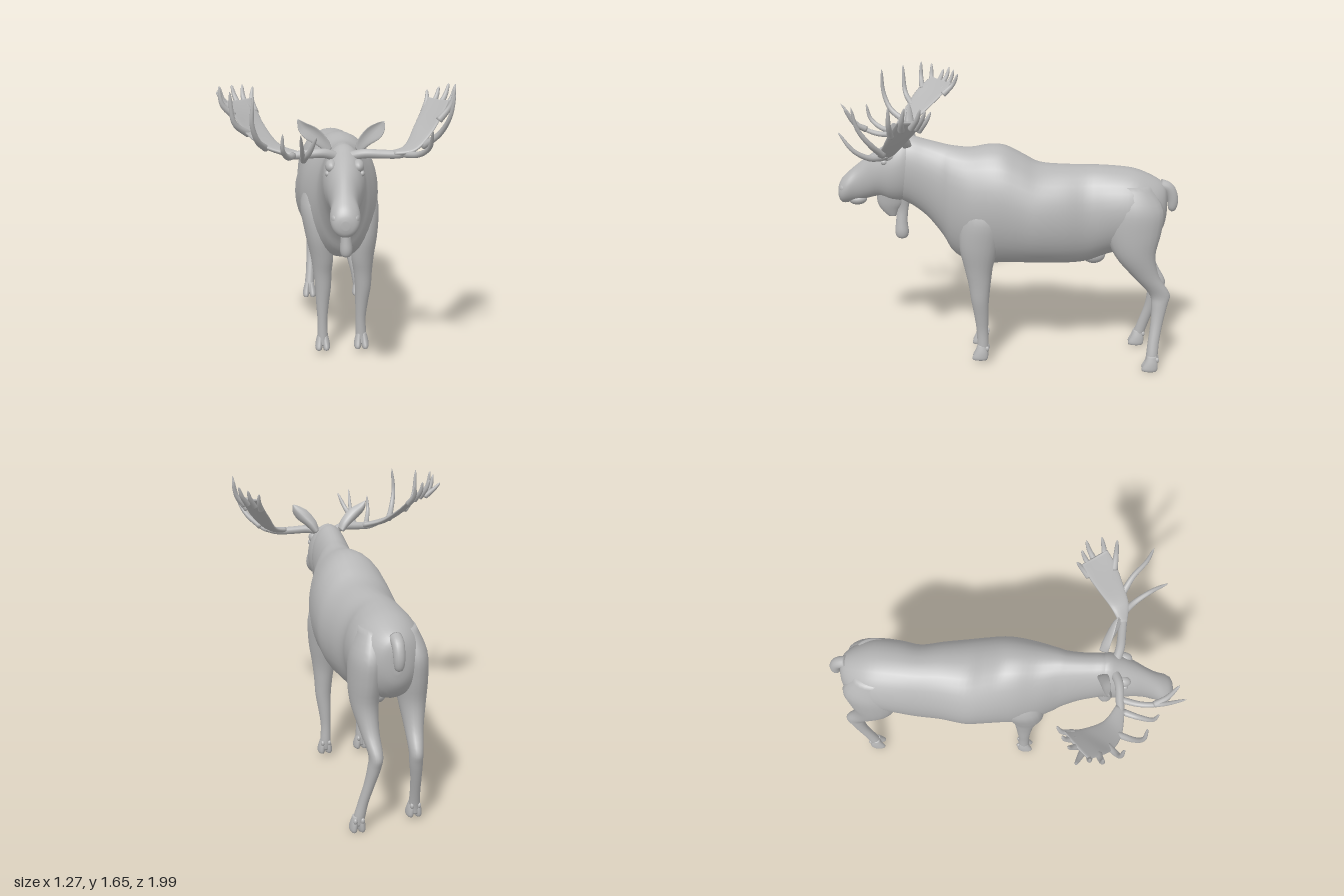
import * as THREE from 'three';

const hide = new THREE.MeshStandardMaterial({ color: 0xb6b6b6 });
hide.name = 'plain grey';
const V = (a) => new THREE.Vector3(a[0], a[1], a[2]);

// Smooth in-betweens for a list of number rows
function refine(rows, k = 4) {
  const out = [], at = (i) => rows[Math.min(Math.max(i, 0), rows.length - 1)];
  for (let i = 0; i < rows.length - 1; i++) {
    for (let s = 0; s < k; s++) {
      const t = s / k;
      out.push(rows[i].map((b, j) => {
        const a = at(i - 1)[j], c = at(i + 1)[j], d = at(i + 2)[j];
        return b + 0.5 * t * (c - a + t * (2 * a - 5 * b + 4 * c - d + t * (3 * (b - c) + d - a)));
      }));
    }
  }
  out.push(rows[rows.length - 1]);
  return out;
}

// Closed skin over oval sections {c: centre, u, v: half axes, cup: bend of the rims}
function skin(name, sections, n = 20) {
  const pos = [], idx = [], m = sections.length;
  const p = new THREE.Vector3();
  for (const { c, u, v, cup } of sections) {
    for (let j = 0; j < n; j++) {
      const a = (j / n) * Math.PI * 2;
      p.copy(c).addScaledVector(u, Math.cos(a)).addScaledVector(v, Math.sin(a));
      if (cup) p.addScaledVector(cup, Math.cos(a) ** 2);
      pos.push(p.x, p.y, p.z);
    }
  }
  for (let i = 0; i < m - 1; i++) {
    for (let j = 0; j < n; j++) {
      const a = i * n + j, b = i * n + (j + 1) % n;
      idx.push(a, b, a + n, b, b + n, a + n);
    }
  }
  const first = sections[0].c, last = sections[m - 1].c;
  pos.push(first.x, first.y, first.z, last.x, last.y, last.z);
  for (let j = 0; j < n; j++) {
    const k = (j + 1) % n, e = (m - 1) * n;
    idx.push(m * n, k, j, m * n + 1, e + j, e + k);
  }
  const g = new THREE.BufferGeometry();
  g.setAttribute('position', new THREE.Float32BufferAttribute(pos, 3));
  g.setIndex(idx);
  g.computeVertexNormals();
  const mesh = new THREE.Mesh(g, hide);
  mesh.name = name;
  return mesh;
}

// Rows [z, top, bottom, x, half width], from back to front
const alongZ = (name, rows) => skin(name, refine(rows).map(([z, t, b, x, w]) => ({
  c: V([x, (t + b) / 2, z]), u: V([w, 0, 0]), v: V([0, (t - b) / 2, 0]),
})), 32);

// Rows [y, x, z, half width, half depth], from top to bottom
const alongY = (name, rows) => skin(name, refine(rows).map(([y, x, z, w, d]) => ({
  c: V([x, y, z]), u: V([w, 0, 0]), v: V([0, 0, d]),
})), 20);

// Tapering round limb through points
function limb(name, pts, r0, r1, n = 10) {
  const curve = new THREE.CatmullRomCurve3(pts.map(V)), k = 20;
  const f = curve.computeFrenetFrames(k);
  return skin(name, f.tangents.map((t, i) => {
    const s = i / k, r = Math.max(0.001, (r0 + (r1 - r0) * s) * Math.sqrt(1 - s ** 10));
    const u = f.normals[i].clone();
    return { c: curve.getPointAt(s), u: u.clone().multiplyScalar(r), v: t.clone().cross(u).multiplyScalar(r) };
  }), n);
}

// Flat blade between two edges; rows [ax, ay, az, bx, by, bz, half thickness]
function blade(name, rows, cup) {
  const r = refine(rows, 5);
  const A = r.map((q) => V(q)), B = r.map((q) => V(q.slice(3)));
  const C = A.map((a, i) => a.clone().lerp(B[i], 0.5));
  return skin(name, r.map((q, i) => {
    const d = C[Math.min(i + 1, C.length - 1)].clone().sub(C[Math.max(i - 1, 0)]);
    const u = B[i].clone().sub(A[i]).multiplyScalar(0.5);
    const v = d.cross(u).normalize().multiplyScalar(q[6]);
    return { c: C[i], u, v, cup: V(cup).multiplyScalar(u.length()) };
  }), 18);
}

function ball(name, x, y, z, rx, ry, rz) {
  const mesh = new THREE.Mesh(new THREE.SphereGeometry(1, 20, 14), hide);
  mesh.position.set(x, y, z);
  mesh.scale.set(rx, ry, rz);
  mesh.name = name;
  return mesh;
}

// Leg with a cloven hoof at [x, y, z]
function leg(name, rows, [x, y, z]) {
  const g = new THREE.Group();
  g.name = name;
  g.add(alongY(name + 'Limb', rows));
  for (const s of [-1, 1]) {
    g.add(alongY('toe', [
      [y + 0.09, x + s * 0.012, z, 0.016, 0.026],
      [y + 0.05, x + s * 0.018, z + 0.004, 0.021, 0.038],
      [y + 0.015, x + s * 0.022, z + 0.012, 0.022, 0.046],
      [y, x + s * 0.022, z + 0.014, 0.018, 0.042],
    ]));
    g.add(ball('dewclaw', x + s * 0.02, y + 0.07, z - 0.03, 0.011, 0.016, 0.012));
  }
  return g;
}

// Antler: beam, cupped palm and tines
function antler(name, beam, palm, cup, tines) {
  const g = new THREE.Group();
  g.name = name;
  g.add(limb('beam', beam, 0.026, 0.021, 14), blade('palm', palm, cup));
  for (const t of tines) g.add(limb('tine', t, 0.019, 0.008));
  return g;
}

export function createModel() {
  const model = new THREE.Group();
  model.name = 'moose';

  // Trunk with hump and neck
  model.add(alongZ('body', [
    [-0.935, 1.03, 0.9, 0.01, 0.03], [-0.915, 1.085, 0.82, 0.01, 0.09], [-0.85, 1.13, 0.74, 0.01, 0.155],
    [-0.74, 1.172, 0.7, 0.01, 0.198], [-0.6, 1.185, 0.66, 0.005, 0.203], [-0.48, 1.187, 0.61, 0, 0.197],
    [-0.35, 1.19, 0.6, 0.015, 0.215], [-0.2, 1.2, 0.6, 0.02, 0.24], [-0.1, 1.25, 0.6, 0.025, 0.238],
    [0, 1.3, 0.6, 0.03, 0.232], [0.09, 1.308, 0.595, 0.035, 0.222], [0.2, 1.292, 0.605, 0.045, 0.195],
    [0.3, 1.3, 0.665, 0.047, 0.155], [0.36, 1.31, 0.76, 0.04, 0.132], [0.45, 1.33, 0.87, 0.035, 0.116],
    [0.54, 1.35, 0.94, 0.035, 0.11], [0.6, 1.335, 0.97, 0.037, 0.1], [0.64, 1.28, 1.03, 0.037, 0.07],
  ]));
  model.add(ball('groin', 0.005, 0.645, -0.52, 0.045, 0.055, 0.07));

  // Head, muzzle and lower lip
  model.add(alongZ('head', [
    [0.48, 1.3, 1.05, 0.035, 0.07], [0.57, 1.352, 0.975, 0.037, 0.108], [0.65, 1.318, 0.965, 0.04, 0.111],
    [0.73, 1.27, 0.99, 0.038, 0.094], [0.8, 1.222, 0.975, 0.035, 0.076], [0.86, 1.175, 0.958, 0.033, 0.071],
    [0.91, 1.132, 0.948, 0.033, 0.078], [0.945, 1.098, 0.944, 0.033, 0.07], [0.965, 1.065, 0.962, 0.033, 0.05],
    [0.973, 1.035, 0.99, 0.033, 0.02],
  ]));
  model.add(ball('lowerLip', 0.035, 0.965, 0.865, 0.046, 0.033, 0.055));
  for (const s of [-1, 1]) {
    model.add(ball('brow', 0.04 + s * 0.07, 1.25, 0.665, 0.032, 0.036, 0.05));
    model.add(ball('eye', 0.04 + s * 0.09, 1.215, 0.685, 0.014, 0.016, 0.018));
    model.add(ball('nostril', 0.033 + s * 0.05, 1.04, 0.925, 0.024, 0.03, 0.034));
  }

  // Throat fold and hanging bell
  model.add(alongY('throat', [
    [1.05, 0.04, 0.66, 0.06, 0.09], [0.96, 0.045, 0.665, 0.045, 0.082], [0.91, 0.05, 0.67, 0.027, 0.052],
    [0.87, 0.052, 0.66, 0.01, 0.02],
  ]));
  model.add(alongY('bell', [
    [1.02, 0.04, 0.6, 0.04, 0.06], [0.92, 0.045, 0.6, 0.024, 0.036], [0.84, 0.05, 0.605, 0.028, 0.034],
    [0.78, 0.052, 0.605, 0.034, 0.04], [0.745, 0.052, 0.605, 0.027, 0.032], [0.733, 0.052, 0.605, 0.008, 0.01],
  ]));

  // Ears, rims bent forward
  model.add(blade('rightEar', [
    [-0.055, 1.3, 0.55, -0.025, 1.325, 0.55, 0.025], [-0.105, 1.345, 0.56, -0.045, 1.375, 0.55, 0.022],
    [-0.165, 1.385, 0.575, -0.1, 1.435, 0.555, 0.016], [-0.2, 1.43, 0.58, -0.16, 1.465, 0.57, 0.01],
    [-0.206, 1.482, 0.585, -0.199, 1.484, 0.582, 0.003],
  ], [0, 0, 0.7]));
  model.add(blade('leftEar', [
    [0.1, 1.325, 0.55, 0.13, 1.3, 0.55, 0.025], [0.115, 1.375, 0.55, 0.175, 1.345, 0.565, 0.022],
    [0.16, 1.435, 0.56, 0.225, 1.385, 0.59, 0.016], [0.21, 1.465, 0.58, 0.25, 1.43, 0.605, 0.01],
    [0.244, 1.476, 0.605, 0.25, 1.474, 0.61, 0.003],
  ], [0, 0, 0.7]));

  // Antlers, each side its own shape
  model.add(antler('rightAntler',
    [[0.0, 1.29, 0.62], [-0.07, 1.315, 0.645], [-0.16, 1.312, 0.655], [-0.24, 1.31, 0.66], [-0.32, 1.34, 0.63]],
    [
      [-0.2, 1.315, 0.635, -0.22, 1.305, 0.685, 0.018], [-0.305, 1.345, 0.575, -0.37, 1.345, 0.675, 0.016],
      [-0.385, 1.425, 0.475, -0.475, 1.41, 0.635, 0.013], [-0.43, 1.5, 0.395, -0.545, 1.495, 0.575, 0.011],
      [-0.455, 1.55, 0.36, -0.595, 1.56, 0.5, 0.007],
    ], [0.05, 0.1, 0],
    [
      [[-0.16, 1.31, 0.66], [-0.175, 1.305, 0.77], [-0.18, 1.35, 0.88], [-0.19, 1.48, 0.99]],
      [[-0.178, 1.33, 0.84], [-0.15, 1.37, 0.9], [-0.11, 1.465, 0.955]],
      [[-0.23, 1.31, 0.68], [-0.255, 1.32, 0.76], [-0.28, 1.37, 0.83], [-0.28, 1.46, 0.855]],
      [[-0.37, 1.345, 0.65], [-0.41, 1.4, 0.73], [-0.435, 1.5, 0.775], [-0.425, 1.64, 0.78]],
      [[-0.46, 1.41, 0.6], [-0.53, 1.48, 0.655], [-0.55, 1.645, 0.67]],
      [[-0.54, 1.5, 0.55], [-0.595, 1.56, 0.565], [-0.612, 1.655, 0.565]],
      [[-0.55, 1.51, 0.5], [-0.595, 1.57, 0.5], [-0.612, 1.645, 0.5]],
      [[-0.55, 1.52, 0.46], [-0.605, 1.57, 0.44], [-0.635, 1.605, 0.43]],
      [[-0.51, 1.52, 0.44], [-0.54, 1.58, 0.4], [-0.555, 1.635, 0.385]],
      [[-0.47, 1.51, 0.42], [-0.495, 1.57, 0.37], [-0.5, 1.63, 0.35]],
      [[-0.43, 1.49, 0.41], [-0.45, 1.55, 0.35], [-0.445, 1.615, 0.32]],
    ]));
  model.add(antler('leftAntler',
    [[0.06, 1.29, 0.62], [0.14, 1.31, 0.64], [0.24, 1.308, 0.645], [0.33, 1.307, 0.645], [0.42, 1.325, 0.62]],
    [
      [0.3, 1.31, 0.67, 0.29, 1.312, 0.625, 0.018], [0.41, 1.325, 0.67, 0.365, 1.335, 0.575, 0.016],
      [0.495, 1.395, 0.625, 0.42, 1.42, 0.495, 0.013], [0.56, 1.485, 0.575, 0.47, 1.5, 0.425, 0.011],
      [0.605, 1.56, 0.52, 0.505, 1.555, 0.385, 0.007],
    ], [-0.05, 0.1, 0],
    [
      [[0.36, 1.307, 0.65], [0.425, 1.32, 0.71], [0.47, 1.375, 0.79], [0.475, 1.475, 0.865]],
      [[0.45, 1.345, 0.63], [0.53, 1.42, 0.68], [0.575, 1.52, 0.74], [0.597, 1.64, 0.765]],
      [[0.54, 1.47, 0.57], [0.6, 1.55, 0.57], [0.623, 1.65, 0.565]],
      [[0.56, 1.51, 0.51], [0.61, 1.57, 0.5], [0.635, 1.648, 0.48]],
      [[0.55, 1.52, 0.46], [0.59, 1.58, 0.42], [0.61, 1.64, 0.4]],
      [[0.51, 1.51, 0.44], [0.545, 1.57, 0.4], [0.56, 1.62, 0.38]],
      [[0.475, 1.49, 0.43], [0.495, 1.55, 0.385], [0.497, 1.6, 0.36]],
    ]));

  // Front legs
  model.add(leg('leftFrontLeg', [
    [1.08, 0.13, 0.1, 0.05, 0.08], [0.92, 0.175, 0.11, 0.08, 0.13], [0.75, 0.18, 0.14, 0.075, 0.115],
    [0.6, 0.168, 0.145, 0.066, 0.082], [0.5, 0.17, 0.14, 0.054, 0.064], [0.4, 0.172, 0.137, 0.046, 0.052],
    [0.3, 0.165, 0.13, 0.037, 0.042], [0.2, 0.16, 0.125, 0.03, 0.034], [0.1, 0.163, 0.122, 0.032, 0.034],
    [0.05, 0.165, 0.128, 0.03, 0.034],
  ], [0.165, 0.025, 0.125]));
  model.add(leg('rightFrontLeg', [
    [1.08, -0.07, 0.1, 0.05, 0.08], [0.92, -0.11, 0.11, 0.08, 0.13], [0.75, -0.09, 0.14, 0.078, 0.115],
    [0.6, -0.068, 0.148, 0.066, 0.082], [0.5, -0.065, 0.145, 0.054, 0.062], [0.4, -0.062, 0.145, 0.046, 0.05],
    [0.3, -0.065, 0.145, 0.037, 0.04], [0.2, -0.066, 0.147, 0.029, 0.033], [0.1, -0.065, 0.147, 0.031, 0.034],
    [0.05, -0.065, 0.15, 0.03, 0.034],
  ], [-0.065, 0.025, 0.145]));

  // Hind legs
  model.add(leg('leftHindLeg', [
    [1.1, 0.1, -0.73, 0.06, 0.1], [0.97, 0.125, -0.75, 0.088, 0.16], [0.83, 0.135, -0.745, 0.088, 0.157],
    [0.69, 0.14, -0.757, 0.074, 0.117], [0.56, 0.13, -0.825, 0.052, 0.077], [0.45, 0.115, -0.907, 0.038, 0.061],
    [0.38, 0.122, -0.91, 0.036, 0.047], [0.28, 0.145, -0.898, 0.03, 0.036], [0.17, 0.175, -0.882, 0.028, 0.033],
    [0.09, 0.193, -0.875, 0.031, 0.034], [0.04, 0.2, -0.87, 0.028, 0.032],
  ], [0.203, 0.002, -0.875]));
  model.add(leg('rightHindLeg', [
    [1.1, -0.08, -0.73, 0.06, 0.1], [0.97, -0.105, -0.75, 0.088, 0.16], [0.83, -0.115, -0.745, 0.088, 0.155],
    [0.69, -0.12, -0.757, 0.074, 0.115], [0.56, -0.115, -0.82, 0.052, 0.075], [0.45, -0.108, -0.895, 0.038, 0.058],
    [0.38, -0.11, -0.895, 0.036, 0.045], [0.28, -0.118, -0.872, 0.03, 0.035], [0.17, -0.125, -0.835, 0.028, 0.033],
    [0.09, -0.13, -0.81, 0.031, 0.034], [0.04, -0.13, -0.805, 0.028, 0.032],
  ], [-0.13, 0.02, -0.805]));

  // Tail
  model.add(limb('tail', [[0.01, 1.08, -0.89], [0.01, 1.06, -0.94], [0.01, 1.0, -0.967], [0.01, 0.92, -0.965]], 0.036, 0.028, 16));

  return model;
}
